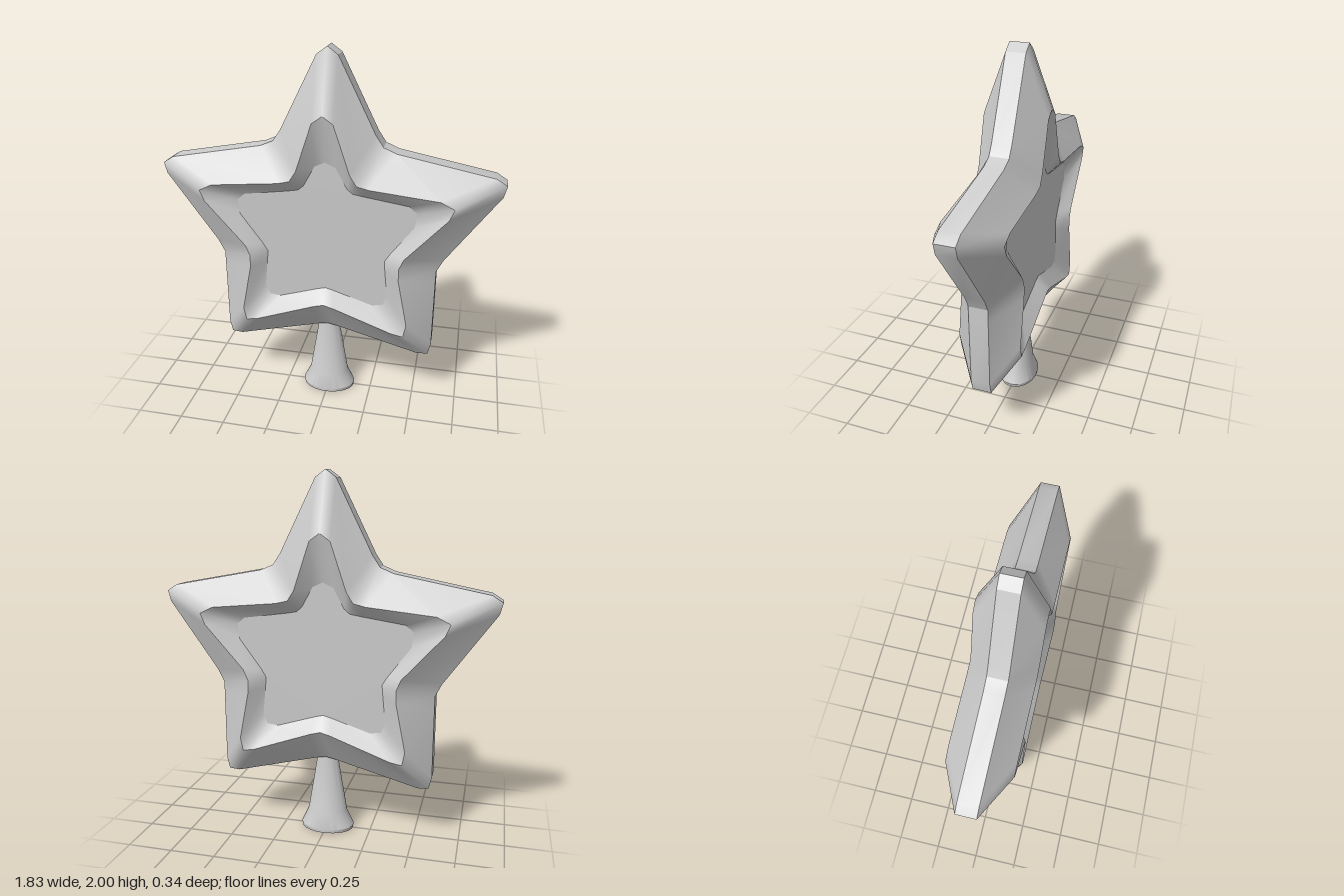
import * as THREE from 'three';
import { mergeGeometries, toCreasedNormals } from 'three/addons/utils/BufferGeometryUtils.js';

// Right halves of the three star outlines, top tip to bottom notch (x, y)
const OUTER = [[0, 2], [0.055, 1.96], [0.25, 1.57], [0.29, 1.51], [0.36, 1.48], [0.86, 1.385], [0.915, 1.35], [0.9, 1.29],
  [0.63, 0.91], [0.595, 0.84], [0.595, 0.77], [0.595, 0.38], [0.58, 0.315], [0.52, 0.31], [0.05, 0.433], [0, 0.442]];
const RIM = [[0, 1.685], [0.055, 1.645], [0.14, 1.39], [0.175, 1.335], [0.24, 1.32], [0.6, 1.285], [0.67, 1.25], [0.645, 1.19],
  [0.43, 0.95], [0.405, 0.89], [0.407, 0.82], [0.46, 0.555], [0.445, 0.483], [0.38, 0.495], [0.055, 0.613], [0, 0.628]];
const FLOOR = [[0, 1.43], [0.055, 1.405], [0.115, 1.295], [0.145, 1.27], [0.2, 1.26], [0.44, 1.225], [0.48, 1.19], [0.472, 1.11],
  [0.35, 0.945], [0.322, 0.9], [0.327, 0.84], [0.342, 0.69], [0.32, 0.633], [0.26, 0.625], [0.04, 0.695], [0, 0.705]];
const EDGE_Z = 0.052, RIM_Z = 0.172, FLOOR_Z = 0.11;

// Full closed outline, clockwise seen from the front
function outline(half) {
  return [...half, ...half.slice(1, -1).reverse().map(([x, y]) => [-x, y])];
}

// Band joining two outlines at different depths, facing outwards
function band(a, za, b, zb) {
  const A = outline(a), B = outline(b), n = A.length;
  const pos = [...A.flatMap(([x, y]) => [x, y, za]), ...B.flatMap(([x, y]) => [x, y, zb])];
  const idx = [];
  for (let i = 0; i < n; i++) {
    const j = (i + 1) % n;
    idx.push(i, n + j, j, i, n + i, n + j);
  }
  const g = new THREE.BufferGeometry();
  g.setAttribute('position', new THREE.Float32BufferAttribute(pos, 3));
  g.setIndex(idx);
  g.computeVertexNormals();
  return g;
}

export function createModel() {
  const group = new THREE.Group();
  const mat = new THREE.MeshStandardMaterial({ color: 0xcccccc });
  const add = (parent, geo, name, m = mat) => {
    const mesh = new THREE.Mesh(geo, m);
    mesh.name = name;
    parent.add(mesh);
  };

  // Narrow side wall around the star
  add(group, toCreasedNormals(band(OUTER, -EDGE_Z, OUTER, EDGE_Z), 0.45), 'starEdge');

  // Each face: sloping bevel, then a recess with its wall and flat floor
  const bevel = band(OUTER, EDGE_Z, RIM, RIM_Z);
  const floor = new THREE.ShapeGeometry(new THREE.Shape(outline(FLOOR).map(([x, y]) => new THREE.Vector2(x, y))));
  floor.deleteAttribute('uv');
  floor.translate(0, 0, FLOOR_Z);
  const recess = mergeGeometries([band(RIM, RIM_Z, FLOOR, FLOOR_Z), floor]);
  for (const [name, turn] of [['frontFace', 0], ['backFace', Math.PI]]) {
    const face = new THREE.Group();
    face.name = name;
    face.rotation.y = turn;
    add(face, bevel, 'bevel');
    add(face, recess, 'recess');
    group.add(face);
  }

  // Hollow oval socket, flared at the foot
  const profile = [[0, 0.4], [0.035, 0.4], [0.09, 0.1], [0.125, 0.0], [0.148, 0], [0.152, 0.02],
    [0.112, 0.105], [0.058, 0.435], [0.05, 0.5], [0, 0.5]];
  const socketGeo = new THREE.LatheGeometry(profile.map(([r, y]) => new THREE.Vector2(r, y)), 32);
  socketGeo.scale(1, 1, 0.72);
  const socketMat = mat.clone();
  socketMat.side = THREE.DoubleSide;
  add(group, toCreasedNormals(socketGeo, 0.5), 'socket', socketMat);

  return group;
}
